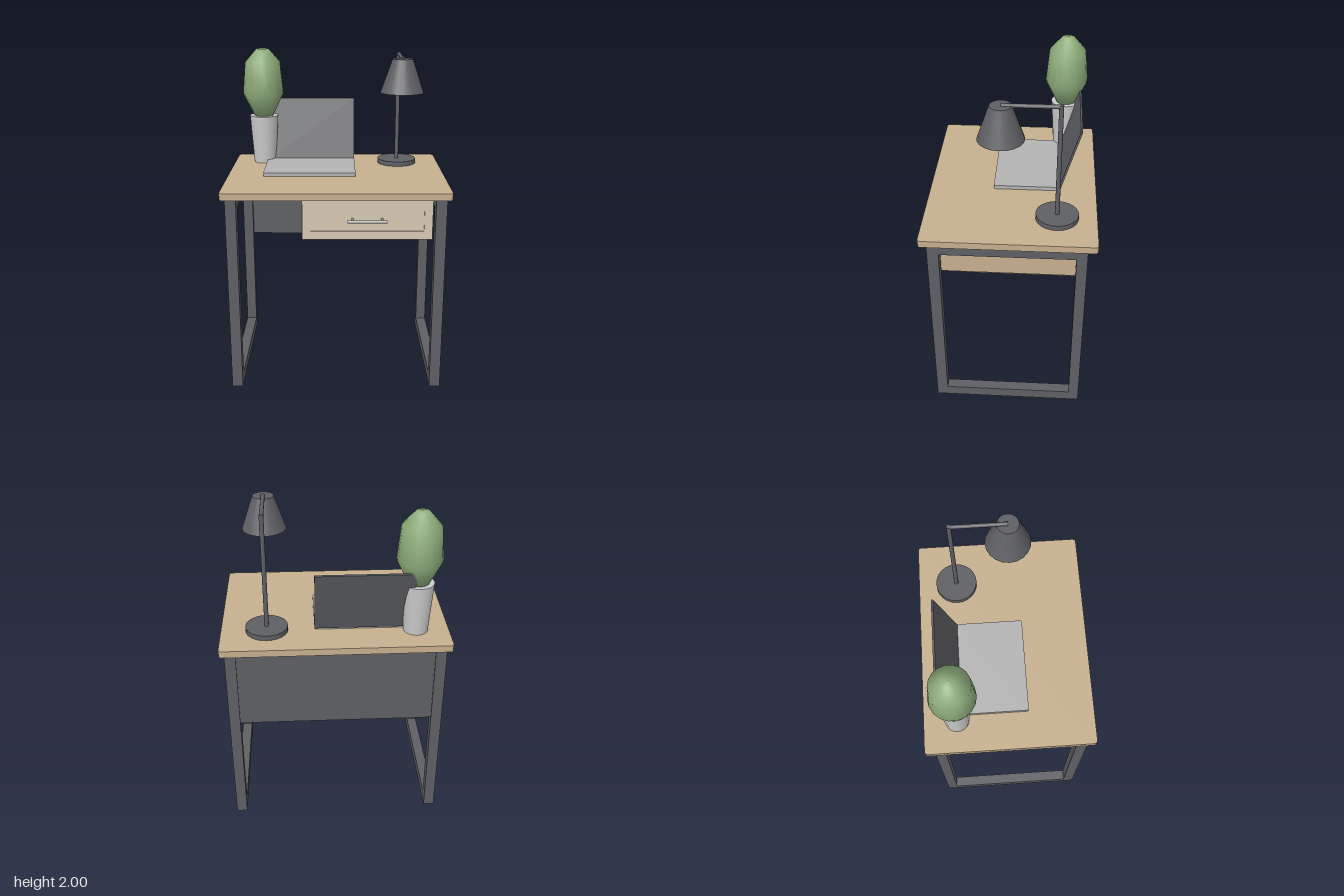
import * as THREE from 'three';

const mat = (color, extra = {}) => new THREE.MeshStandardMaterial({ color, ...extra });
const wood = mat(0xc8b090), paleWood = mat(0xd6cab4), steel = mat(0x5f6064);
const silver = mat(0xb4b4b4), ceramic = mat(0xcccccc), leaf = mat(0x8fae7c);
const thinSteel = mat(0x5f6064, { side: THREE.DoubleSide });

export function createModel() {
  const model = new THREE.Group();

  const add = (name, geometry, material, x = 0, y = 0, z = 0, parent = model) => {
    const mesh = new THREE.Mesh(geometry, material);
    mesh.name = name;
    mesh.position.set(x, y, z);
    parent.add(mesh);
    return mesh;
  };
  // box given by its lower and upper corners
  const block = (name, material, [x0, y0, z0], [x1, y1, z1], parent) =>
    add(name, new THREE.BoxGeometry(x1 - x0, y1 - y0, z1 - z0), material,
      (x0 + x1) / 2, (y0 + y1) / 2, (z0 + z1) / 2, parent);
  // flat slab with rounded corners, lying on its underside
  const slab = (w, d, h, r) => {
    const s = new THREE.Shape(), a = w / 2, b = d / 2;
    s.absarc(a - r, b - r, r, 0, Math.PI / 2);
    s.absarc(r - a, b - r, r, Math.PI / 2, Math.PI);
    s.absarc(r - a, r - b, r, Math.PI, Math.PI * 1.5);
    s.absarc(a - r, r - b, r, Math.PI * 1.5, Math.PI * 2);
    return new THREE.ExtrudeGeometry(s, { depth: h, bevelEnabled: false, curveSegments: 5 })
      .rotateX(-Math.PI / 2);
  };
  const rect = (shape, x0, y0, x1, y1) =>
    shape.moveTo(x0, y0).lineTo(x1, y0).lineTo(x1, y1).lineTo(x0, y1).closePath();
  // rectangular frame with a rectangular opening, extruded along z
  const frame = (outer, inner, depth) => {
    const s = rect(new THREE.Shape(), ...outer);
    s.holes.push(rect(new THREE.Path(), ...inner));
    return new THREE.ExtrudeGeometry(s, { depth, bevelEnabled: false });
  };

  // Desk
  add('tabletop', slab(1.34, 1.005, 0.042, 0.02), wood, 0, 1.218, -0.0125);
  for (const side of [-1, 1]) {
    const g = frame([-0.445, 0, 0.46, 1.218], [-0.378, 0.066, 0.398, 1.15], 0.065);
    g.rotateY(Math.PI / 2);
    add(side > 0 ? 'leftLegFrame' : 'rightLegFrame', g, steel, side * 0.6125 - 0.0325, 0, 0);
  }
  block('modestyPanel', steel, [-0.58, 0.71, -0.452], [0.58, 1.218, -0.43]);

  // Drawer
  const drawer = new THREE.Group();
  drawer.name = 'drawer';
  model.add(drawer);
  block('drawerBody', wood, [-0.2, 0.97, -0.43], [0.565, 1.217, 0.444], drawer);
  add('drawerFrontFrame', frame([-0.197, 0.973, 0.562, 1.214], [-0.148, 1.022, 0.513, 1.165], 0.013),
    paleWood, 0, 0, 0.444, drawer);
  block('drawerFrontPanel', paleWood, [-0.148, 1.022, 0.444], [0.513, 1.165, 0.45], drawer);
  add('handleBar', new THREE.CylinderGeometry(0.009, 0.009, 0.23, 12).rotateZ(Math.PI / 2),
    silver, 0.18, 1.097, 0.506, drawer);
  for (const x of [0.095, 0.268])
    add('handlePost', new THREE.CylinderGeometry(0.006, 0.006, 0.058, 10).rotateX(Math.PI / 2),
      silver, x, 1.097, 0.477, drawer);

  // Laptop
  const laptop = new THREE.Group();
  laptop.name = 'laptop';
  model.add(laptop);
  add('laptopBase', slab(0.57, 0.395, 0.024, 0.012), silver, -0.165, 1.26, -0.0925, laptop);
  const lid = add('laptopScreen', new THREE.BoxGeometry(0.57, 0.41, 0.012).translate(0, 0.205, -0.006),
    steel, -0.165, 1.275, -0.288, laptop);
  lid.rotation.x = -0.285;

  // Potted plant
  const plant = new THREE.Group();
  plant.name = 'pottedPlant';
  plant.position.set(-0.474, 1.26, -0.318);
  model.add(plant);
  add('pot', new THREE.CylinderGeometry(0.093, 0.072, 0.31, 20), ceramic, 0, 0.155, 0, plant);
  const profile = [[0, 0.3], [0.06, 0.305], [0.132, 0.455], [0.113, 0.655], [0.04, 0.738], [0, 0.742]];
  add('foliage', new THREE.LatheGeometry(profile.map(p => new THREE.Vector2(...p)), 18), leaf, 0, 0, 0, plant);

  // Desk lamp
  const lamp = new THREE.Group();
  lamp.name = 'deskLamp';
  lamp.position.set(0.4, 1.26, -0.282);
  model.add(lamp);
  add('lampBase', new THREE.CylinderGeometry(0.125, 0.125, 0.03, 24), steel, 0, 0.015, 0, lamp);
  add('lampPole', new THREE.CylinderGeometry(0.013, 0.013, 0.705, 12), steel, 0, 0.3675, 0, lamp);
  add('lampArm', new THREE.CylinderGeometry(0.012, 0.012, 0.32, 12).rotateX(Math.PI / 2),
    steel, 0, 0.71, 0.16, lamp);
  add('lampShade', new THREE.CylinderGeometry(0.062, 0.132, 0.2, 20, 1, true), thinSteel, 0, 0.61, 0.32, lamp);
  add('lampShadeCap', new THREE.CircleGeometry(0.062, 20).rotateX(-Math.PI / 2), thinSteel, 0, 0.71, 0.32, lamp);

  return model;
}
